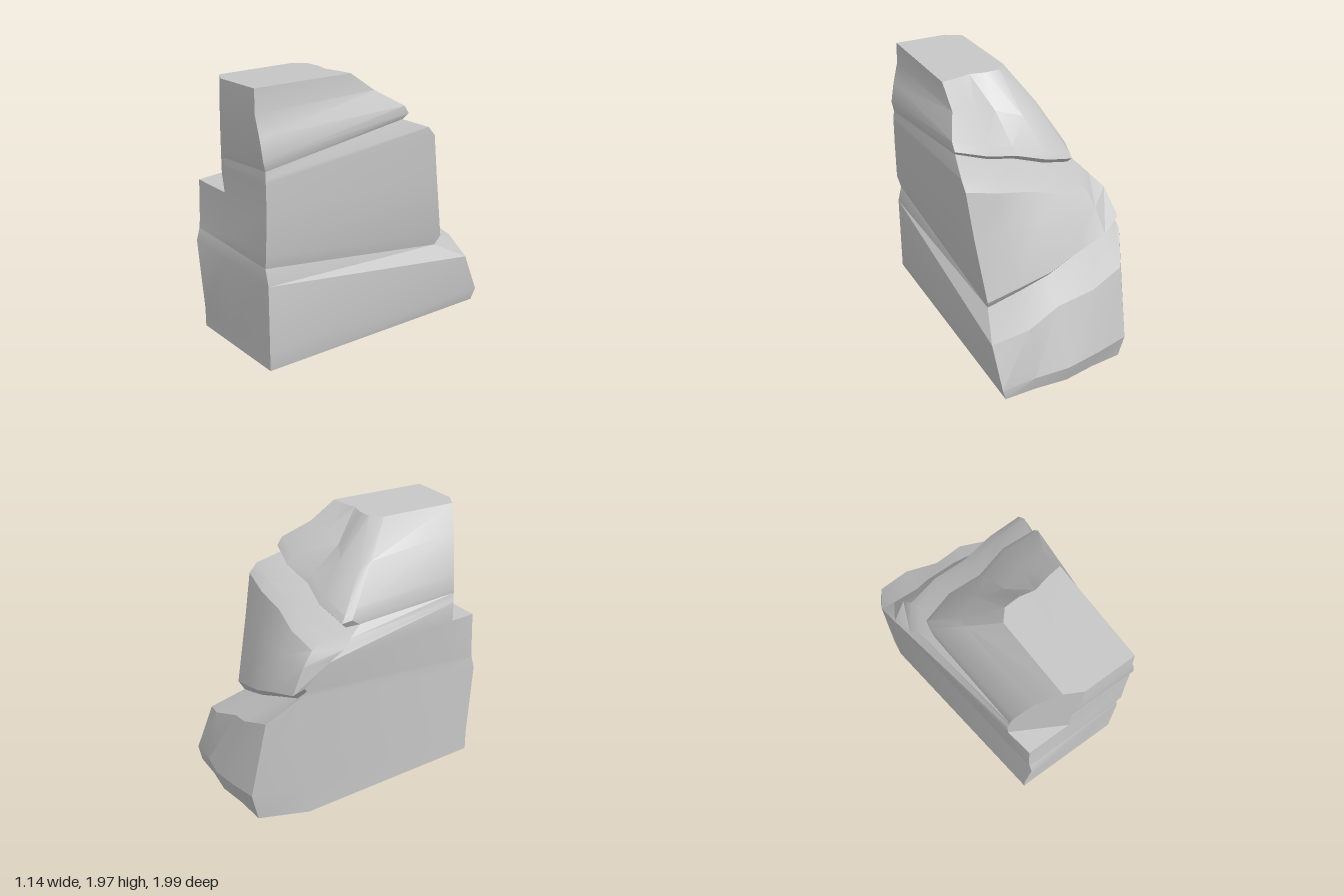
import * as THREE from 'three';
import { toCreasedNormals } from 'three/addons/utils/BufferGeometryUtils.js';

// Each ring lists five corners: front left-hand, front right-hand, back right-hand,
// back left-hand and side left-hand (as seen from the front), then how far three
// points along its back edge are pushed out. Rings run from bottom to top.
const BASE = [
  [[-.36, 0, .95], [.49, 0, .95], [.53, 0, -.92], [-.43, 0, -.9], [-.535, 0, -.55], [-.01, -.04, -.01]],
  [[-.36, .14, .95], [.49, .14, .95], [.56, .1, -.935], [-.44, .2, -.95], [-.54, .2, -.6], [-.015, -.055, -.035]],
  [[-.355, .7, .995], [.49, .63, .95], [.57, .41, -.8], [-.45, .74, -.83], [-.56, .93, -.63], [-.06, -.01, -.05]],
  [[-.355, .79, .97], [.46, .75, .95], [.475, .54, -.56], [-.44, .87, -.58], [-.56, .97, -.57], [-.03, -.05, -.02]],
];
const MIDDLE = [
  BASE[3],
  [[-.36, .85, .96], [.485, .85, .96], [.495, .61, -.6], [-.45, .9, -.62], [-.57, 1, -.59], [-.03, -.055, -.02]],
  [[-.36, 1.15, .95], [.49, 1.15, .95], [.54, 1.1, -.5], [-.42, 1.08, -.52], [-.57, 1.15, -.4], [-.01, -.04, -.04]],
  [[-.36, 1.15, .95], [.49, 1.15, .95], [.54, 1.1, -.5], [-.42, 1.08, -.52], [-.57, 1.15, -.4], [-.01, -.04, -.04]],
  [[-.37, 1.32, .95], [.488, 1.35, .95], [.565, 1.44, -.44], [-.4, 1.18, -.44], [-.53, 1.2, -.26], [-.02, .0, -.03]],
  [[-.37, 1.33, .95], [.487, 1.38, .95], [.565, 1.51, -.38], [-.38, 1.23, -.36], [-.49, 1.25, -.19], [-.02, .01, -.02]],
  [[-.37, 1.38, .95], [.48, 1.43, .945], [.51, 1.59, -.18], [-.39, 1.29, -.17], [-.43, 1.31, -.08], [-.045, -.005, -.045]],
];
const CROWN = [
  MIDDLE[6],
  [[-.375, 1.4, .95], [.488, 1.5, .965], [.53, 1.63, -.22], [-.41, 1.33, -.21], [-.43, 1.35, -.14], [-.045, -.005, -.045]],
  [[-.35, 1.52, .96], [.46, 1.65, .97], [.53, 1.69, -.18], [-.4, 1.38, -.18], [-.41, 1.42, -.1], [-.035, 0, -.045]],
  [[-.25, 1.8, .97], [.42, 1.8, .975], [.43, 1.81, .01], [-.27, 1.63, 0], [-.28, 1.69, .1], [-.01, .04, -.04]],
  [[-.1, 1.95, .97], [.415, 1.965, .97], [.41, 1.95, .2], [-.05, 1.94, .22], [-.12, 1.94, .3], [.01, .03, 0]],
];

const mix = (a, b, t) => a.map((v, i) => v + (b[i] - v) * t);

// Vertical plane that cuts the front corner notch
const plane = (p) => p[2] - .96 - .553 * p[0];
const cut = (a, b) => mix(a, b, plane(a) / (plane(a) - plane(b)));

function perimeter([fl, fr, br, bl, side, bulge], notched) {
  const a = cut(fl, side), b = cut(fl, fr);
  const back = bulge.map((push, i) => {
    const [x, y, z] = mix(br, bl, (i + 1) / 4);
    return [x, y, z + push];
  });
  return [notched ? mix(a, b, .5) : fl, b, fr, br, ...back, bl, side, a];
}

// Skins a stack of rings, optionally closing the bottom or top
function loft(rings, closeBottom, closeTop) {
  const pos = [];
  const tri = (a, b, c) => {
    const [A, B, C] = [a, b, c].map((p) => new THREE.Vector3(...p));
    if (B.sub(A).cross(C.sub(A)).length() > 1e-7) pos.push(...a, ...b, ...c);
  };
  const n = rings[0].length;
  for (let k = 0; k + 1 < rings.length; k++) {
    const lo = rings[k], hi = rings[k + 1];
    for (let i = 0; i < n; i++) {
      const j = (i + 1) % n;
      tri(lo[i], lo[j], hi[j]);
      tri(lo[i], hi[j], hi[i]);
    }
  }
  const cap = (ring, up) => {
    const c = [0, 1, 2].map((d) => ring.reduce((s, p) => s + p[d], 0) / n);
    ring.forEach((p, i) => {
      const q = ring[(i + 1) % n];
      if (up) tri(c, p, q); else tri(c, q, p);
    });
  };
  if (closeBottom) cap(rings[0], false);
  if (closeTop) cap(rings[rings.length - 1], true);
  const geo = new THREE.BufferGeometry();
  geo.setAttribute('position', new THREE.Float32BufferAttribute(pos, 3));
  return toCreasedNormals(geo, .45);
}

export function createModel() {
  const group = new THREE.Group();
  group.name = 'rockFormation';
  const stone = new THREE.MeshStandardMaterial({ color: 0xc6c6c6 });
  stone.name = 'pale grey stone';

  const add = (name, geometry) => {
    const mesh = new THREE.Mesh(geometry, stone);
    mesh.name = name;
    group.add(mesh);
  };

  // Neighbouring layers share the ring at the bottom of each groove;
  // the corner notch starts at the ledge, the fourth ring of the middle layer
  add('baseLayer', loft(BASE.map((r) => perimeter(r, false)), true, false));
  add('middleLayer', loft(MIDDLE.map((r, i) => perimeter(r, i > 2)), false, false));
  add('crownLayer', loft(CROWN.map((r) => perimeter(r, true)), false, true));
  return group;
}
